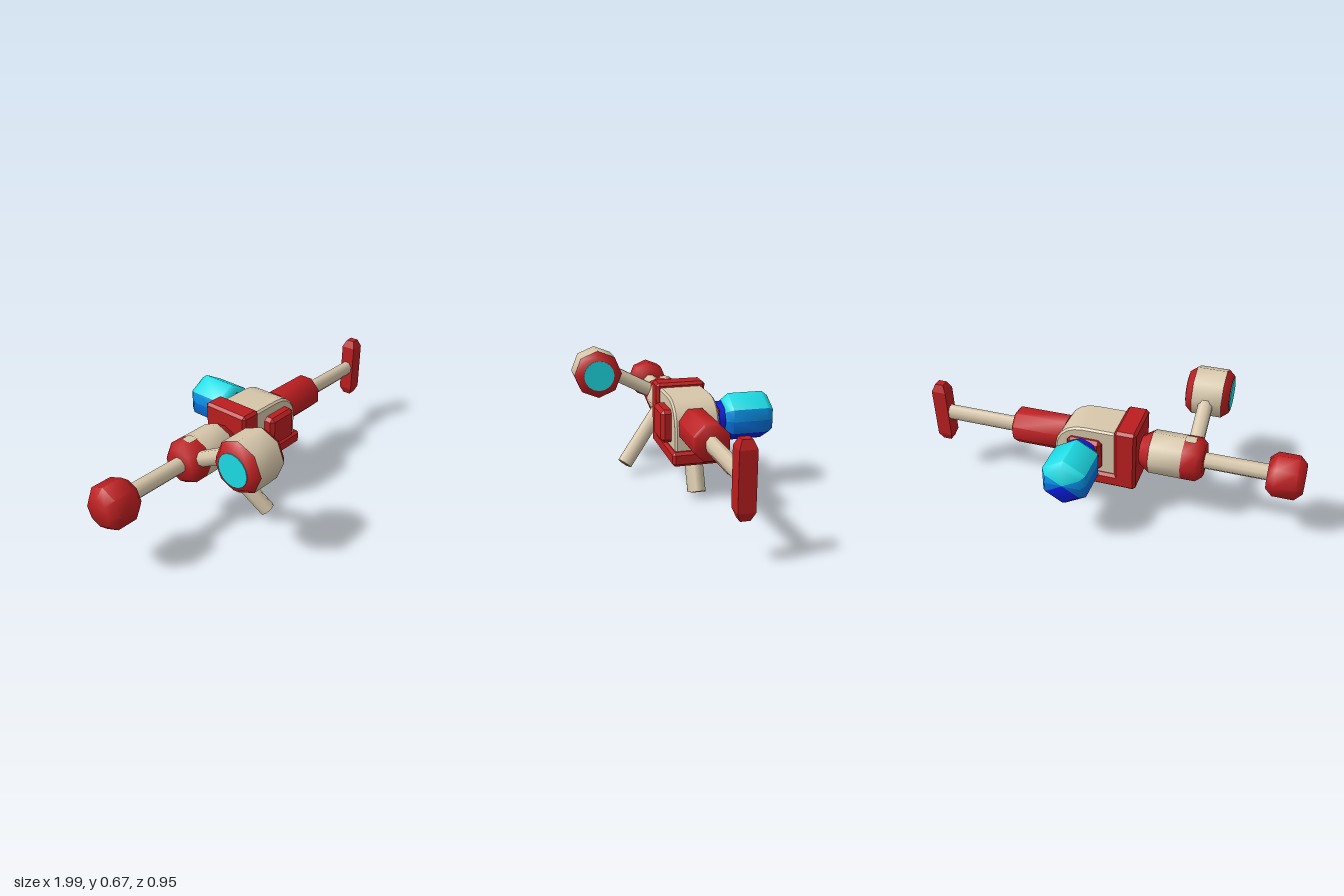
import * as THREE from 'three';
import { toCreasedNormals } from 'three/addons/utils/BufferGeometryUtils.js';
import { ConvexGeometry } from 'three/addons/geometries/ConvexGeometry.js';

const paint = (name, color) => {
  const m = new THREE.MeshStandardMaterial({ color });
  m.name = name;
  return m;
};

export function createModel() {
  const model = new THREE.Group();
  const red = paint('red', 0xbc1e20), beige = paint('beige', 0xd6c6aa), brown = paint('brown', 0xa8665a);
  const cyan = paint('cyan', 0x20f0fa), blue = paint('blue', 0x0a9af4);
  const deepBlue = paint('deepBlue', 0x0870dc), navy = paint('navy', 0x0a1ee4);
  const CY = 0.372, CZ = -0.053; // main axis

  const add = (name, geo, mat, x = 0, y = 0, z = 0) => {
    const mesh = new THREE.Mesh(geo, mat);
    mesh.name = name;
    mesh.position.set(x, y, z);
    model.add(mesh);
    return mesh;
  };

  // Box with all edges chamfered, given by its limits
  const bevelBox = (name, mat, [x0, x1], [y0, y1], [z0, z1], b) => {
    const w = (x1 - x0) / 2, h = (y1 - y0) / 2, d = (z1 - z0) / 2, pts = [];
    for (const i of [-1, 1]) for (const j of [-1, 1]) for (const k of [-1, 1]) pts.push(
      new THREE.Vector3(i * w, j * (h - b), k * (d - b)),
      new THREE.Vector3(i * (w - b), j * h, k * (d - b)),
      new THREE.Vector3(i * (w - b), j * (h - b), k * d));
    add(name, new ConvexGeometry(pts), mat, (x0 + x1) / 2, (y0 + y1) / 2, (z0 + z1) / 2);
  };

  // Eight-sided turned part along x; profile is [radius, x]
  const turned = (name, mat, profile, y = CY, z = CZ, turn = 0) => {
    const pts = profile.map(([r, x]) => new THREE.Vector2(r, x));
    const geo = new THREE.LatheGeometry(pts, 8).rotateY(turn).rotateZ(-Math.PI / 2);
    add(name, toCreasedNormals(geo, 1), mat, 0, y, z);
  };

  // Straight eight-sided rod between two points
  const rod = (name, from, to, r, flat = 1) => {
    const a = new THREE.Vector3(...from), b = new THREE.Vector3(...to);
    const dir = b.clone().sub(a), R = r / Math.cos(Math.PI / 8);
    const geo = new THREE.CylinderGeometry(R, R, dir.length(), 8).rotateY(Math.PI / 8).scale(1, 1, flat);
    const mesh = add(name, geo, beige);
    mesh.position.copy(a).add(b).multiplyScalar(0.5);
    mesh.quaternion.setFromUnitVectors(new THREE.Vector3(0, 1, 0), dir.normalize());
    return mesh;
  };

  // Thin painted detail on the far end of a rod
  const tipDetail = (name, parent, geo, x) => {
    const mesh = new THREE.Mesh(geo, brown);
    mesh.name = name;
    mesh.position.set(x, parent.geometry.parameters.height / 2 + 0.001, 0);
    parent.add(mesh);
  };

  // Body with a rounded upper corner
  const side = new THREE.Shape();
  side.moveTo(-0.1, 0.22);
  side.lineTo(0.245, 0.22);
  side.lineTo(0.245, 0.38);
  side.bezierCurveTo(0.24, 0.45, 0.18, 0.5, 0.1, 0.5);
  side.lineTo(-0.1, 0.5);
  const bodyGeo = new THREE.ExtrudeGeometry(side, {
    depth: 0.21, bevelThickness: 0.01, bevelSize: 0.01, bevelSegments: 1, curveSegments: 5 });
  add('body', toCreasedNormals(bodyGeo, 0.5), beige, 0, 0, -0.158);

  // Red frame around the body
  bevelBox('framePlate', red, [-0.18, -0.066], [0.19, 0.533], [-0.186, 0.08], 0.014);
  bevelBox('frameBase', red, [-0.18, 0.282], [0.19, 0.264], [-0.186, 0.08], 0.014);

  // Side buttons
  bevelBox('frontButton', red, [0.0, 0.182], [0.285, 0.455], [0.0, 0.115], 0.018);
  bevelBox('backButton', red, [0.0, 0.182], [0.285, 0.455], [-0.197, -0.08], 0.018);

  // Rear sleeve, rod and square end plate with tapered tips
  turned('rearSleeve', red, [[0, 0.222], [0.097, 0.222], [0.097, 0.5], [0.085, 0.512], [0, 0.512]],
    0.379, -0.048, Math.PI / 8);
  rod('rearRod', [0.48, 0.375, -0.048], [0.94, 0.375, -0.045], 0.04, 0.8);
  add('rodStripe', new THREE.BoxGeometry(0.3, 0.01, 0.008), brown, 0.67, 0.352, -0.021);
  const plate = [[0, -0.175], [0.032, -0.175], [0.056, -0.135], [0.056, 0.135], [0.032, 0.175], [0, 0.175]];
  const plateGeo = new THREE.LatheGeometry(plate.map(([r, y]) => new THREE.Vector2(r, y)), 4);
  add('endPlate', toCreasedNormals(plateGeo.rotateY(Math.PI / 4), 0.3), red, 0.955, 0.375, -0.043);

  // Front barrel: red ends around a beige middle, with a worn patch on top
  turned('barrelFrontCap', red, [[0, -0.507], [0.088, -0.507], [0.114, -0.475], [0.114, -0.4]], 0.368);
  turned('barrel', beige, [[0.114, -0.4], [0.114, -0.235]], 0.368);
  turned('barrelRearCap', red, [[0.114, -0.235], [0.07, -0.17], [0, -0.17]], 0.368);
  const patch = new THREE.CylinderGeometry(0.1155, 0.1155, 0.055, 2, 1, true, 1.5 * Math.PI - 0.25, 0.5);
  add('barrelPatch', patch.rotateZ(-Math.PI / 2), beige, -0.43, 0.368, CZ);
  rod('frontRod', [-0.85, 0.368, CZ], [-0.48, 0.368, CZ], 0.039);
  turned('muzzle', red, [[0, -1], [0.076, -1], [0.112, -0.962], [0.112, -0.857], [0.08, -0.82], [0, -0.82]], 0.366);

  // Offset drum with a lens at both ends
  const DY = 0.532, DZ = 0.343;
  turned('drum', beige, [[0.133, -0.522], [0.133, -0.365]], DY, DZ);
  turned('drumCap', red, [[0, -0.557], [0.102, -0.557], [0.133, -0.522]], DY, DZ);
  turned('drumCap', red, [[0.133, -0.365], [0.102, -0.328], [0, -0.328]], DY, DZ);
  for (const x of [-0.558, -0.327])
    add('lens', new THREE.CylinderGeometry(0.084, 0.084, 0.006, 16).rotateZ(Math.PI / 2), cyan, x, DY, DZ);
  rod('drumArm', [-0.44, 0.55, 0.3], [-0.44, 0.38, -0.02], 0.037);

  // Slanted legs with worn tips
  const sideLeg = rod('sideLeg', [-0.295, 0.345, 0.005], [-0.185, 0.062, 0.238], 0.038);
  tipDetail('legTip', sideLeg, new THREE.CylinderGeometry(0.028, 0.028, 0.004, 8), 0);
  const grip = rod('grip', [0.115, 0.26, -0.062], [0.212, 0.022, -0.062], 0.06, 0.7);
  tipDetail('gripTip', grip, new THREE.BoxGeometry(0.034, 0.004, 0.07), -0.028);

  // Canister at the back: six-sided, coloured in bands from top to bottom
  const neck = new THREE.CylinderGeometry(0.09, 0.09, 0.032, 8).rotateX(Math.PI / 2);
  add('canisterNeck', neck, navy, 0.1, 0.376, -0.206);
  add('canisterStem', new THREE.CylinderGeometry(0.06, 0.06, 0.06, 8).rotateX(Math.PI / 2), navy, 0.1, 0.376, -0.21);
  const angles = [-30, 0, 30, 90, 150, 180, 210, 270];
  const bands = [2, 1, 0, 0, 1, 2, 3, 3]; // material of each side
  const rings = [[0, -0.475], [0.8, -0.475], [1, -0.443], [1, -0.258], [0.8, -0.226], [0, -0.226]];
  const corner = (i, k) => {
    const a = angles[k % 8] * Math.PI / 180;
    const r = 0.127 * rings[i][0] * (k % 8 === 1 || k % 8 === 5 ? Math.cos(Math.PI / 6) : 1);
    return [r * Math.cos(a), r * Math.sin(a), rings[i][1]];
  };
  const canister = new THREE.BufferGeometry(), pos = [];
  bands.forEach((band, k) => {
    const start = pos.length / 3;
    for (let i = 0; i < rings.length - 1; i++) {
      const a = corner(i, k), b = corner(i, k + 1), c = corner(i + 1, k + 1), d = corner(i + 1, k);
      if (rings[i][0] > 0) pos.push(...a, ...b, ...c);
      if (rings[i + 1][0] > 0) pos.push(...a, ...c, ...d);
    }
    canister.addGroup(start, pos.length / 3 - start, band);
  });
  canister.setAttribute('position', new THREE.Float32BufferAttribute(pos, 3));
  add('canister', toCreasedNormals(canister, 1.1), [cyan, blue, deepBlue, navy], 0.1, 0.377, 0);
  return model;
}
